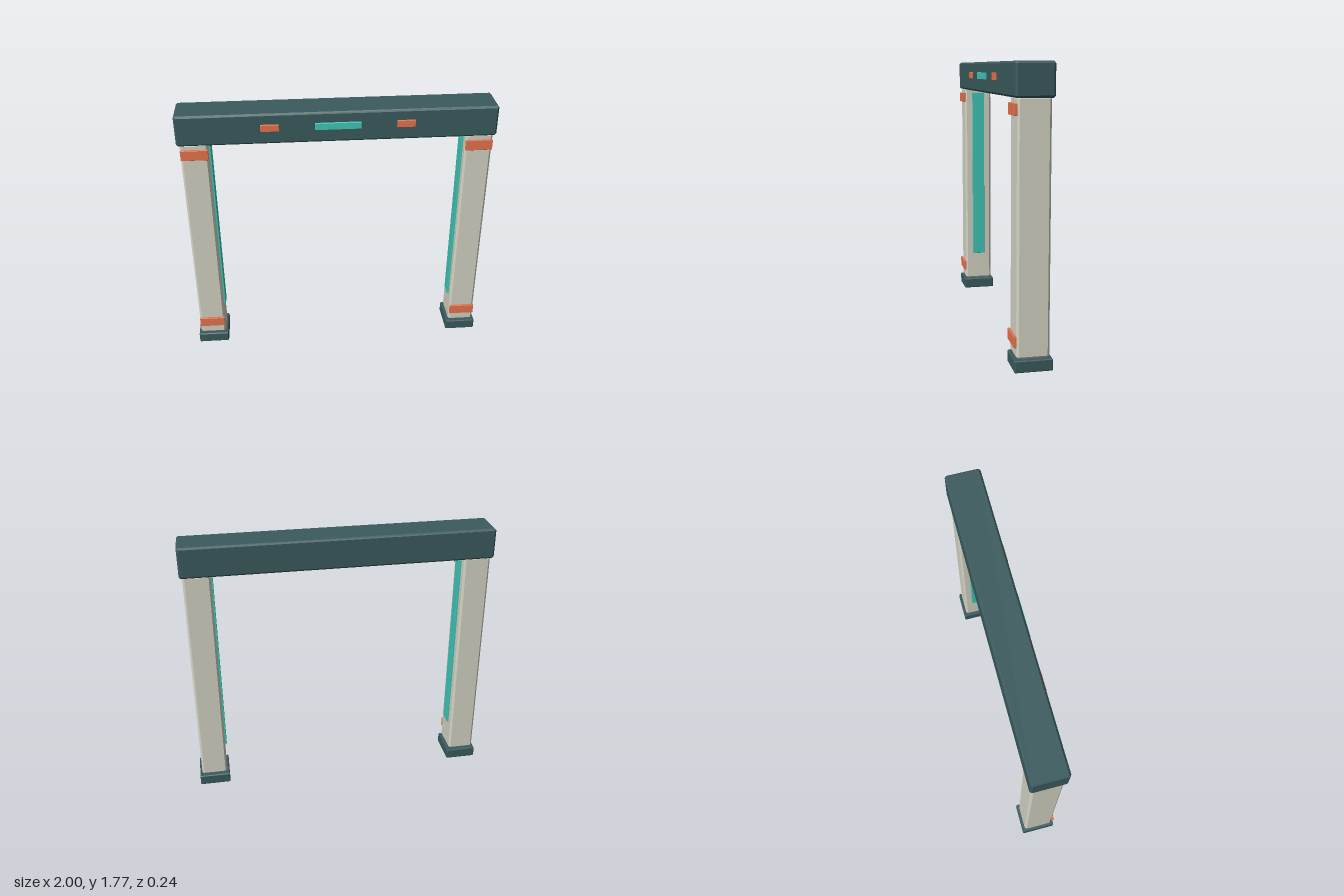
import * as THREE from 'three';
import { ConvexGeometry } from 'three/addons/geometries/ConvexGeometry.js';

const paint = (color) => new THREE.MeshStandardMaterial({ color, flatShading: true });

// Box with every edge cut at 45 degrees: three points per corner
function chamferBox(w, h, d, c) {
  const points = [];
  for (const x of [-1, 1]) for (const y of [-1, 1]) for (const z of [-1, 1]) {
    for (let axis = 0; axis < 3; axis++) {
      const inset = [c, c, c];
      inset[axis] = 0;
      points.push(new THREE.Vector3(
        x * (w / 2 - inset[0]), y * (h / 2 - inset[1]), z * (d / 2 - inset[2])));
    }
  }
  return new ConvexGeometry(points);
}

export function createModel() {
  const model = new THREE.Group();
  const dark = paint(0x3a5a5c);
  const cream = paint(0xd4d3c5);
  const orange = paint(0xe6744c);
  const teal = paint(0x40c8b8);

  // Adds a chamfered block given its size and centre
  function block(parent, name, material, [w, h, d], [x, y, z], chamfer) {
    const mesh = new THREE.Mesh(chamferBox(w, h, d, chamfer), material);
    mesh.name = name;
    mesh.position.set(x, y, z);
    parent.add(mesh);
    return mesh;
  }

  // Top beam with its front lights
  const beam = new THREE.Group();
  beam.name = 'beam';
  model.add(beam);
  block(beam, 'crossbeam', dark, [2, 0.2, 0.228], [0, 1.666, -0.004], 0.012);
  block(beam, 'centreLight', teal, [0.288, 0.046, 0.02], [0, 1.675, 0.11], 0.002);
  for (const side of [-1, 1]) {
    block(beam, 'sideLight', orange, [0.115, 0.046, 0.02], [side * 0.422, 1.675, 0.11], 0.002);
  }

  // Two posts, each with a foot, front bands and an inner light strip
  for (const side of [-1, 1]) {
    const post = new THREE.Group();
    post.name = side > 0 ? 'leftPost' : 'rightPost';
    model.add(post);
    const x = side * 0.895;
    block(post, 'foot', dark, [0.206, 0.072, 0.228], [x, 0.036, -0.004], 0.005);
    block(post, 'column', cream, [0.174, 1.5, 0.197], [x, 0.825, -0.003], 0.013);
    for (const y of [0.178, 1.503]) {
      block(post, 'band', orange, [0.172, 0.068, 0.016], [x, y, 0.103], 0.002);
    }
    block(post, 'lightStrip', teal, [0.02, 1.262, 0.09], [side * 0.806, 0.909, -0.003], 0.002);
  }
  return model;
}
